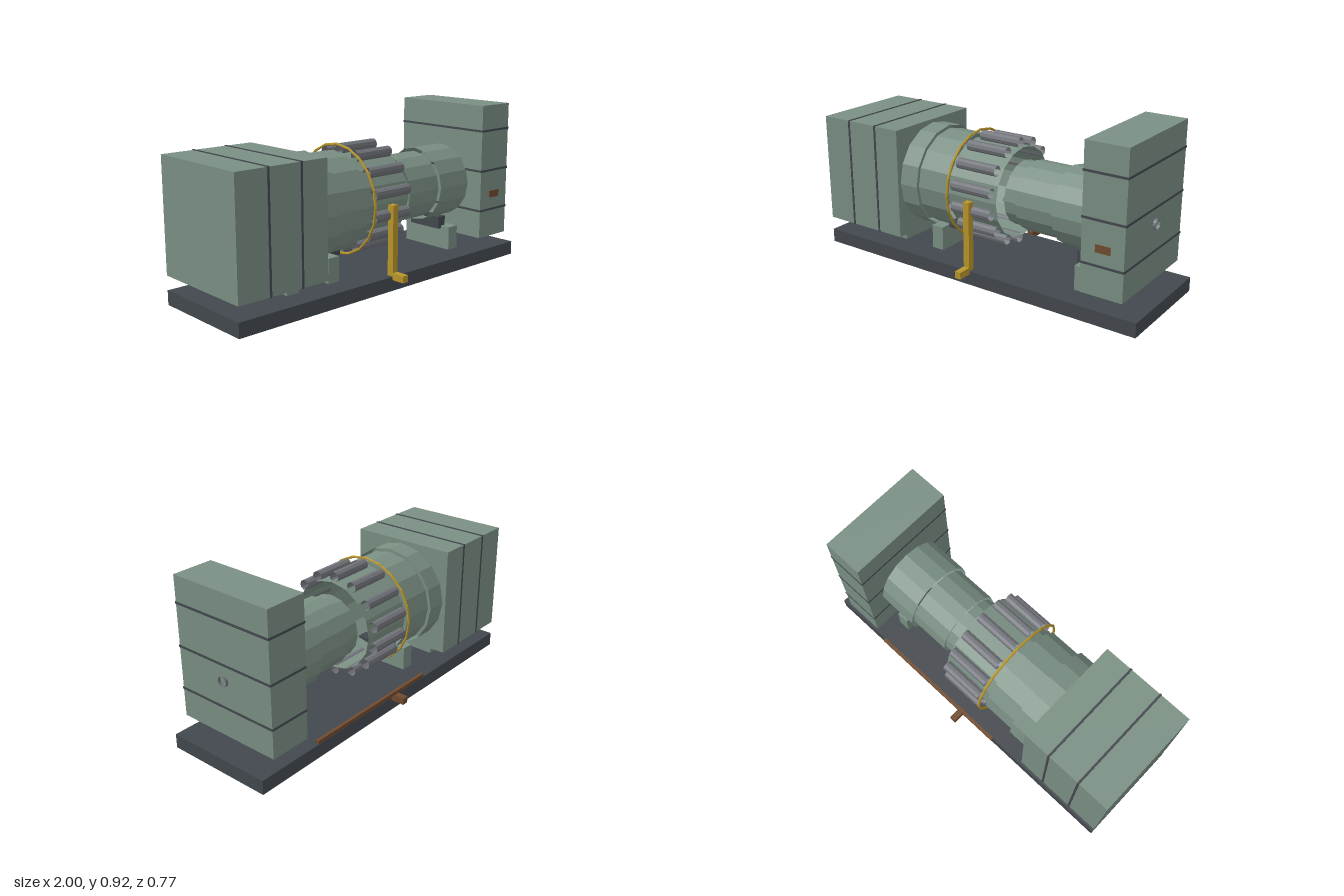
import * as THREE from 'three';

const paint = (name, color, extra = {}) => {
  const m = new THREE.MeshStandardMaterial({ color, flatShading: true, ...extra });
  m.name = name;
  return m;
};

export function createModel() {
  const root = new THREE.Group();
  root.name = 'gasTurbine';
  const open = { side: THREE.DoubleSide };
  const green = paint('casing green', 0x7a8f83, open);
  const dark = paint('dark steel', 0x43484e);
  const grey = paint('can grey', 0x707379, open);
  const yellow = paint('safety yellow', 0xb8952a);
  const rust = paint('rust brown', 0x704a2e);
  const AXIS = 0.465;

  const add = (name, geometry, material, parent = root) => {
    const mesh = new THREE.Mesh(geometry, material);
    mesh.name = name;
    parent.add(mesh);
    return mesh;
  };
  // Box given by its limits on each axis
  const box = (name, m, x0, x1, y0, y1, z0, z1, parent) => {
    const b = add(name, new THREE.BoxGeometry(x1 - x0, y1 - y0, z1 - z0), m, parent);
    b.position.set((x0 + x1) / 2, (y0 + y1) / 2, (z0 + z1) / 2);
    return b;
  };
  // Open-ended tube lying along x
  const tube = (name, m, x0, x1, r, sides, y = AXIS, z = 0, parent = root) => {
    const g = new THREE.CylinderGeometry(r, r, x1 - x0, sides, 1, true).rotateZ(Math.PI / 2);
    const t = add(name, g, m, parent);
    t.position.set((x0 + x1) / 2, y, z);
    return t;
  };

  // Skid
  box('basePlate', dark, -1, 1, 0, 0.078, -0.307, 0.307);

  // Intake housing with two vertical bands
  box('intakeHousing', green, -1, -0.465, 0.155, 0.77, -0.307, 0.307);
  for (const x of [-0.816, -0.624]) {
    box('intakeBand', dark, x - 0.006, x + 0.006, 0.152, 0.773, -0.31, 0.31);
  }

  // Exhaust housing with three horizontal bands
  box('exhaustHousing', green, 0.69, 0.922, 0.155, 0.922, -0.307, 0.307);
  for (const y of [0.315, 0.547, 0.778]) {
    box('exhaustBand', dark, 0.687, 0.925, y - 0.006, y + 0.006, -0.31, 0.31);
  }
  box('ratingPlate', rust, 0.768, 0.848, 0.385, 0.425, 0.306, 0.312);
  tube('shaftEnd', grey, 0.9, 0.938, 0.028, 12, 0.462);

  // Stepped round casing: start, end, radius
  const steps = [
    [-0.465, -0.35, 0.287], [-0.35, -0.16, 0.269], [-0.16, 0.15, 0.249],
    [0.15, 0.23, 0.176], [0.23, 0.46, 0.191], [0.46, 0.69, 0.21],
  ];
  for (const [x0, x1, r] of steps) tube('casingSection', green, x0, x1, r, 16);

  // Ring of combustor cans
  const cans = new THREE.Group();
  cans.name = 'combustorCans';
  root.add(cans);
  for (let i = 0; i < 14; i++) {
    const a = (i / 14) * Math.PI * 2;
    tube('combustorCan', grey, -0.115, 0.132, 0.029, 10,
      AXIS + 0.27 * Math.cos(a), 0.27 * Math.sin(a), cans);
  }

  // Fuel manifold ring, riser and inlet
  const ring = add('fuelRing', new THREE.TorusGeometry(0.297, 0.007, 6, 20).rotateY(Math.PI / 2), yellow);
  ring.position.set(-0.134, AXIS, 0);
  box('fuelRiser', yellow, -0.018, 0.018, 0.06, 0.462, 0.27, 0.308);
  box('fuelInlet', yellow, -0.018, 0.018, 0.06, 0.098, 0.3, 0.385);

  // Oil pipe along the back
  box('oilPipe', rust, -0.25, 0.63, 0.098, 0.117, -0.326, -0.308);
  box('oilInlet', rust, -0.018, 0.018, 0.06, 0.098, -0.385, -0.3);

  // Supports and saddles
  box('intakeSupport', green, -0.615, -0.54, 0.078, 0.156, -0.17, 0.17);
  box('frontSupport', green, -0.345, -0.272, 0.078, 0.213, -0.17, 0.17);
  box('rearSupport', green, 0.58, 0.652, 0.078, 0.213, -0.17, 0.17);
  box('frontSaddle', dark, -0.274, -0.213, 0.197, 0.23, -0.11, 0.11);
  box('rearSaddle', dark, 0.557, 0.612, 0.197, 0.268, -0.11, 0.11);

  return root;
}
